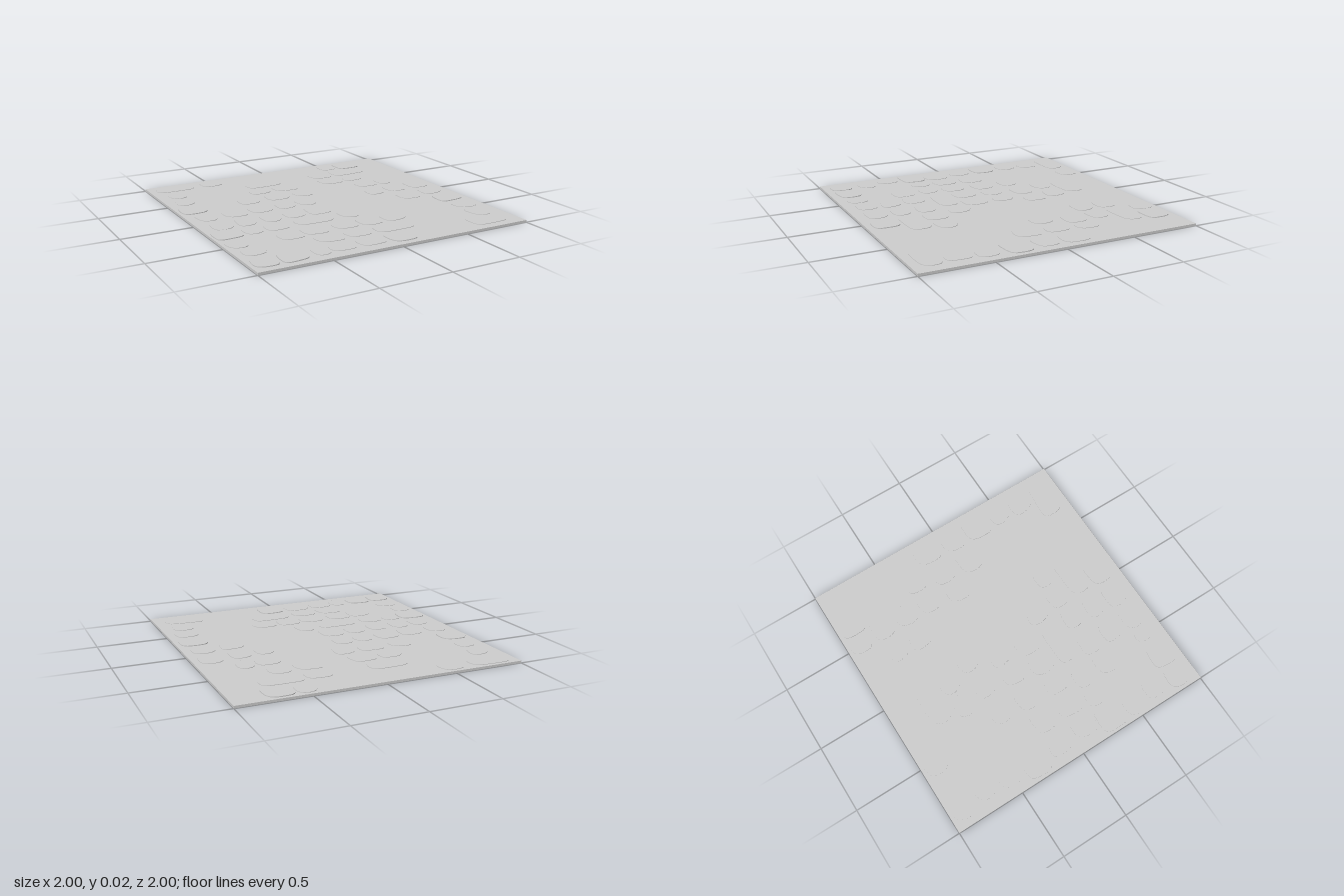
import * as THREE from 'three';

const SLAB = 0.016, LOW = 0.0195, HIGH = 0.022;
const grey = new THREE.MeshStandardMaterial({ color: 0xcccccc });
const pale = new THREE.MeshStandardMaterial({ color: 0xdbdbdb });

function seeded(seed) {
  return () => (seed = (seed * 16807) % 2147483647) / 2147483647;
}

// irregular four-sided outline with rounded corners, inside the given extents
function stoneOutline(x0, x1, z0, z1, rand) {
  const jitter = () => rand() * 0.028;
  const corners = [
    [x0 + jitter(), -z1 + jitter()], [x1 - jitter(), -z1 + jitter()],
    [x1 - jitter(), -z0 - jitter()], [x0 + jitter(), -z0 - jitter()],
  ].map(([x, y]) => new THREE.Vector2(x, y));
  // slightly bulging sides
  const centre = new THREE.Vector2((x0 + x1) / 2, -(z0 + z1) / 2);
  const ring = [];
  corners.forEach((c, i) => {
    const mid = c.clone().lerp(corners[(i + 1) % 4], 0.4 + rand() * 0.2);
    ring.push(c, mid.sub(centre).multiplyScalar(1.05).add(centre));
  });
  const shape = new THREE.Shape();
  corners.forEach((c, i) => {
    const before = ring[(i * 2 + 7) % 8], after = ring[i * 2 + 1];
    const r = 0.045 + rand() * 0.02;
    const a = c.clone().add(before.clone().sub(c).setLength(r));
    const b = c.clone().add(after.clone().sub(c).setLength(r));
    if (i === 0) shape.moveTo(a.x, a.y); else shape.lineTo(a.x, a.y);
    shape.quadraticCurveTo(c.x, c.y, b.x, b.y);
    shape.lineTo(after.x, after.y);
  });
  shape.closePath();
  return shape;
}

export function createModel() {
  const model = new THREE.Group();
  model.name = 'cobbledGround';
  const rand = seeded(4711);

  // ground slab
  const slab = new THREE.Mesh(new THREE.BoxGeometry(2, SLAB, 2), grey);
  slab.name = 'groundSlab';
  slab.position.y = SLAB / 2;
  model.add(slab);

  // one paving stone, sunk into the slab
  function stone(x0, x1, z0, z1, top = LOW, material = grey) {
    const base = SLAB * 0.5;
    const geometry = new THREE.ExtrudeGeometry(stoneOutline(x0, x1, z0, z1, rand), {
      depth: top - base, bevelEnabled: false, curveSegments: 4,
    });
    geometry.rotateX(-Math.PI / 2).translate(0, base, 0);
    const mesh = new THREE.Mesh(geometry, material);
    mesh.name = 'pavingStone';
    model.add(mesh);
  }
  const row = (z0, z1, spans) => spans.forEach(([a, b]) => stone(a, b, z0, z1));

  // low stones, row by row from the back, as left and right extents
  row(-0.98, -0.81, [[-0.95, -0.64], [-0.61, -0.42], [0.43, 0.59]]);
  row(-0.78, -0.61, [[-0.93, -0.77], [-0.31, 0], [0.24, 0.44], [0.45, 0.75]]);
  row(-0.6, -0.43, [[-0.95, -0.78], [-0.36, -0.18], [-0.16, 0.03], [0.24, 0.43], [0.44, 0.62]]);
  row(-0.41, -0.24, [[-0.54, -0.35], [-0.31, -0.12], [-0.1, 0.06], [0.43, 0.63], [0.63, 0.78]]);
  row(-0.2, -0.02, [[-0.94, -0.78], [-0.75, -0.57], [-0.56, -0.36], [-0.35, -0.19],
    [-0.18, -0.02], [0.4, 0.56], [0.58, 0.74]]);
  row(0.01, 0.2, [[-0.93, -0.77], [-0.75, -0.59], [-0.57, -0.41], [-0.4, -0.23],
    [-0.21, -0.03], [0.55, 0.74]]);
  row(0.21, 0.38, [[-0.78, -0.63], [-0.62, -0.44], [-0.41, -0.1], [-0.06, 0.09]]);
  row(0.41, 0.58, [[-0.99, -0.83], [-0.63, -0.44], [-0.44, -0.25], [-0.23, -0.03],
    [-0.03, 0.15], [0.16, 0.35], [0.77, 0.94]]);
  row(0.59, 0.75, [[-0.97, -0.79], [-0.45, -0.25], [-0.24, -0.04], [-0.01, 0.29]]);
  row(0.77, 0.94, [[-0.59, -0.44], [-0.45, -0.25], [-0.24, -0.05], [0.63, 0.93]]);

  // low stones that stray from their rows
  stone(0.78, 0.95, -0.23, -0.03);
  stone(0.77, 0.94, -0.02, 0.17);
  stone(0.76, 0.92, 0.59, 0.78);

  // larger stones standing a little higher
  stone(0.58, 0.79, -0.98, -0.78, HIGH);
  stone(-0.98, -0.77, -0.42, -0.22, HIGH);
  stone(-0.99, -0.78, 0.2, 0.4, HIGH);
  stone(0.76, 0.97, 0.19, 0.39, HIGH);
  stone(-0.8, -0.59, 0.76, 0.96, HIGH);
  stone(-0.03, 0.18, 0.76, 0.96, HIGH);

  // pale corner stone
  stone(-0.99, -0.8, 0.77, 0.96, HIGH, pale);
  return model;
}
